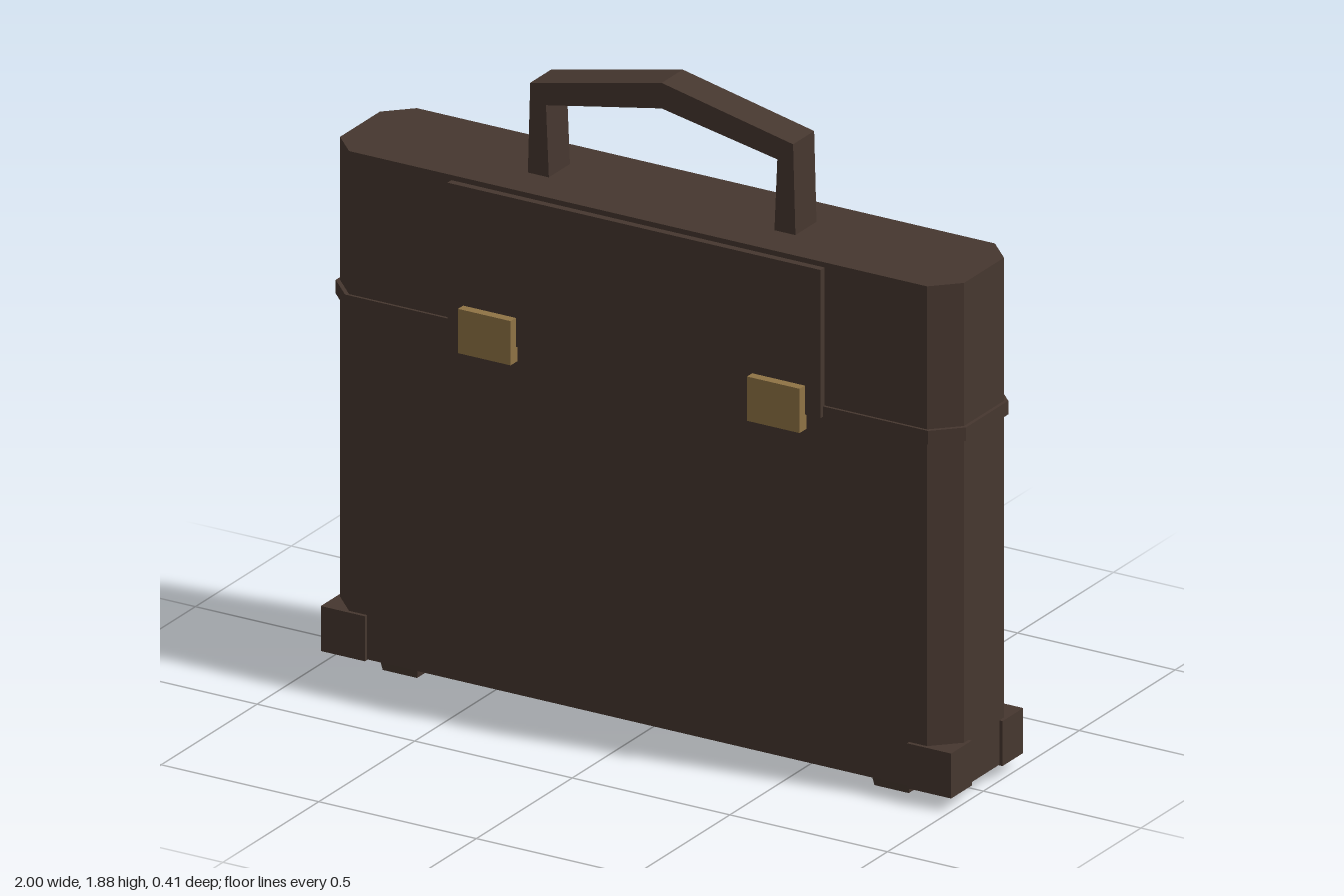
import * as THREE from 'three';

export function createModel() {
  const model = new THREE.Group();
  model.name = 'briefcase';
  const leather = new THREE.MeshStandardMaterial({ name: 'dark brown leather', color: 0x46372f });
  const brass = new THREE.MeshStandardMaterial({ name: 'brass', color: 0x8f7345 });
  const midZ = -0.02; // the case sits slightly behind centre

  function add(name, geometry, material = leather) {
    const mesh = new THREE.Mesh(geometry, material);
    mesh.name = name;
    model.add(mesh);
    return mesh;
  }

  // Box given by its lower and upper limits
  function block(name, [x0, x1], [y0, y1], [z0, z1], material) {
    add(name, new THREE.BoxGeometry(x1 - x0, y1 - y0, z1 - z0), material)
      .position.set((x0 + x1) / 2, (y0 + y1) / 2, (z0 + z1) / 2);
  }

  // Upright slab with cut corners, extruded from y0 to y1
  function slab(name, hx, hz, cut, y0, y1) {
    const outline = [
      [-hx + cut, -hz], [hx - cut, -hz], [hx, -hz + cut], [hx, hz - cut],
      [hx - cut, hz], [-hx + cut, hz], [-hx, hz - cut], [-hx, -hz + cut],
    ].map(([x, z]) => new THREE.Vector2(x, z));
    const geometry = new THREE.ExtrudeGeometry(new THREE.Shape(outline), { depth: y1 - y0, bevelEnabled: false });
    geometry.rotateX(-Math.PI / 2);
    add(name, geometry).position.set(0, y0, midZ);
  }

  // Case and the raised band where it opens
  slab('caseBody', 0.99, 0.177, 0.073, 0.04, 1.52);
  slab('seamBand', 1.0, 0.185, 0.075, 1.06, 1.1);

  // Front flap
  block('frontFlap', [-0.592, 0.592], [1.07, 1.505], [0.15, 0.178]);

  // Angular handle
  const half = [[0.425, 1.5], [0.417, 1.785], [0, 1.875]];
  const inner = [[0, 1.8], [0.367, 1.73], [0.357, 1.5]];
  const mirrored = (points) => points.map(([x, y]) => [-x, y]).reverse();
  const arch = [...half, ...mirrored(half).slice(1), ...mirrored(inner), ...inner.slice(1)]
    .map(([x, y]) => new THREE.Vector2(x, y));
  const handle = new THREE.ExtrudeGeometry(new THREE.Shape(arch), { depth: 0.11, bevelEnabled: false });
  add('handle', handle).position.z = -0.076;

  for (const side of [-1, 1]) {
    const name = side > 0 ? 'left' : 'right';
    const spanX = (a, b) => (side > 0 ? [a, b] : [-b, -a]);

    // Clasp
    block(name + 'Clasp', spanX(0.375, 0.542), [1.025, 1.155], [0.17, 0.205], brass);

    for (const end of [-1, 1]) {
      const place = name + (end > 0 ? 'Front' : 'Back');

      // Corner guard
      const z = [midZ + end * 0.08, midZ + end * 0.188].sort((a, b) => a - b);
      block(place + 'Corner', spanX(0.86, 1.0), [0.038, 0.17], z);

      // Foot, narrowing towards the ground
      const foot = new THREE.BoxGeometry(0.124, 0.042, 0.09);
      const p = foot.attributes.position;
      for (let i = 0; i < p.count; i++) {
        if (p.getY(i) < 0) p.setXYZ(i, p.getX(i) * 0.88, p.getY(i), p.getZ(i) * 0.84);
      }
      foot.computeVertexNormals();
      add(place + 'Foot', foot).position.set(side * 0.78, 0.021, midZ + end * 0.099);
    }
  }
  return model;
}
